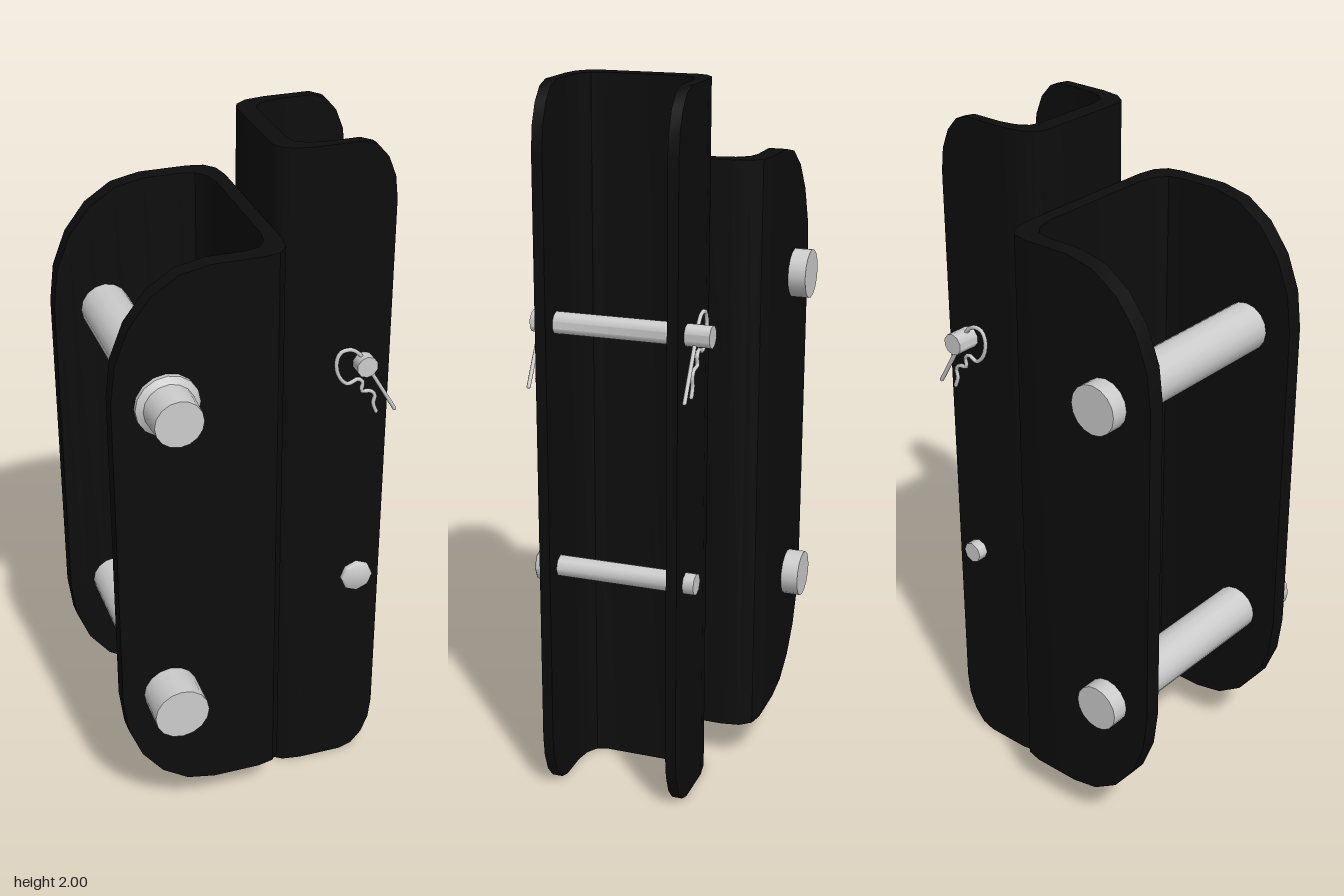
import * as THREE from 'three';
import { toCreasedNormals } from 'three/addons/utils/BufferGeometryUtils.js';

const steel = new THREE.MeshStandardMaterial({ color: 0xcccccc });
const black = new THREE.MeshStandardMaterial({ color: 0x0d0d0d });

function addMesh(group, name, geometry, material) {
  const mesh = new THREE.Mesh(geometry, material);
  mesh.name = name;
  group.add(mesh);
  return mesh;
}

// U-shaped channel swept as cross-sections from one free edge, round the web, to the other.
// s = 1 opens towards -x, s = -1 opens towards +x. bend rows: outer x, outer z, inner x, inner z,
// with z measured outwards from the channel's middle plane zc.
function channelGeometry({ s, zc, edge, outer, inner, y0, y1, rx, ry, steps, bend }) {
  const half = [];
  for (let k = 0; k <= steps; k++) {
    const t = (k / steps) * Math.PI / 2;
    const x = edge + s * rx * (1 - Math.cos(t));
    half.push([x, outer, x, inner, ry * (1 - Math.sin(t))]);
  }
  bend.forEach((b) => half.push([...b, 0]));

  const section = ([xo, zo, xi, zi, drop], side) => {
    const a = zc + side * zo, b = zc + side * zi;
    return [[xo, y0 + drop, a], [xo, y1 - drop, a], [xi, y1 - drop, b], [xi, y0 + drop, b]];
  };
  const sections = [
    ...half.map((h) => section(h, -s)),
    ...half.slice().reverse().map((h) => section(h, s)),
  ];

  const pos = [];
  const quad = (a, b, c, d) => pos.push(...a, ...b, ...c, ...a, ...c, ...d);
  for (let i = 0; i < sections.length - 1; i++) {
    const p = sections[i], q = sections[i + 1];
    for (let j = 0; j < 4; j++) {
      const n = (j + 1) % 4;
      quad(p[j], p[n], q[n], q[j]);
    }
  }
  quad(...sections[0].slice().reverse());
  quad(...sections[sections.length - 1]);

  const geometry = new THREE.BufferGeometry();
  geometry.setAttribute('position', new THREE.Float32BufferAttribute(pos, 3));
  return toCreasedNormals(geometry, 0.6);
}

// Turned part along z; profile rows: radius, z (from back to front)
function turned(group, name, x, y, sides, profile) {
  const points = profile.map(([r, z]) => new THREE.Vector2(r, z));
  const geometry = new THREE.LatheGeometry(points, sides);
  geometry.rotateX(Math.PI / 2);
  addMesh(group, name, toCreasedNormals(geometry, 0.85), steel).position.set(x, y, 0);
}

export function createModel() {
  const model = new THREE.Group();
  model.name = 'channelBracket';

  // Wide channel with large rounded corners
  addMesh(model, 'wideChannel', channelGeometry({
    s: 1, zc: -0.032, edge: -0.425, outer: 0.321, inner: 0.272,
    y0: 0.12, y1: 1.78, rx: 0.27, ry: 0.35, steps: 5,
    bend: [
      [-0.015, 0.321, -0.05, 0.272],
      [0.03, 0.311, -0.01, 0.262],
      [0.056, 0.28, 0.015, 0.23],
      [0.065, 0.228, 0.025, 0.178],
    ],
  }), black);

  // Tall narrow channel, back to back with the wide one
  addMesh(model, 'narrowChannel', channelGeometry({
    s: -1, zc: -0.033, edge: 0.395, outer: 0.198, inner: 0.168,
    y0: 0, y1: 2, rx: 0.1, ry: 0.17, steps: 4,
    bend: [
      [0.165, 0.198, 0.205, 0.168],
      [0.11, 0.189, 0.158, 0.16],
      [0.078, 0.166, 0.126, 0.14],
      [0.067, 0.14, 0.117, 0.11],
    ],
  }), black);

  // Thick pins across the wide channel
  turned(model, 'collaredPin', -0.278, 1.408, 16, [
    [0, -0.403], [0.07, -0.403], [0.07, 0.29], [0.088, 0.29],
    [0.088, 0.303], [0.07, 0.315], [0.066, 0.402], [0, 0.402],
  ]);
  turned(model, 'headedPin', -0.285, 0.478, 16, [
    [0, -0.403], [0.067, -0.403], [0.067, 0.29], [0.078, 0.29], [0.078, 0.403], [0, 0.403],
  ]);

  // Thin pins across the narrow channel
  turned(model, 'clippedPin', 0.318, 1.365, 10, [
    [0, -0.3], [0.031, -0.3], [0.031, 0.2], [0, 0.2],
  ]);
  turned(model, 'thinHeadedPin', 0.318, 0.668, 8, [
    [0, -0.262], [0.031, -0.262], [0.031, 0.177], [0.048, 0.177],
    [0.048, 0.19], [0.042, 0.195], [0, 0.195],
  ]);

  // Hairpin clips: straight leg, loop, then wavy leg
  const wire = [
    [0.413, 1.21], [0.345, 1.325], [0.305, 1.393], [0.28, 1.414], [0.248, 1.412],
    [0.235, 1.385], [0.243, 1.34], [0.27, 1.312], [0.3, 1.322], [0.314, 1.31],
    [0.312, 1.283], [0.34, 1.278], [0.352, 1.262], [0.348, 1.238], [0.358, 1.21],
  ];
  const curve = new THREE.CatmullRomCurve3(wire.map(([x, y]) => new THREE.Vector3(x, y, 0)));
  const clip = new THREE.TubeGeometry(curve, 56, 0.006, 6);
  [['frontClip', 0.178], ['backClip', -0.256]].forEach(([name, z]) => {
    const group = new THREE.Group();
    group.name = name;
    addMesh(group, 'clipWire', clip, steel);
    // Close the two wire ends
    [wire[0], wire[wire.length - 1]].forEach(([x, y]) =>
      addMesh(group, 'clipEnd', new THREE.SphereGeometry(0.006, 6, 4), steel).position.set(x, y, 0));
    group.position.z = z;
    model.add(group);
  });

  return model;
}
